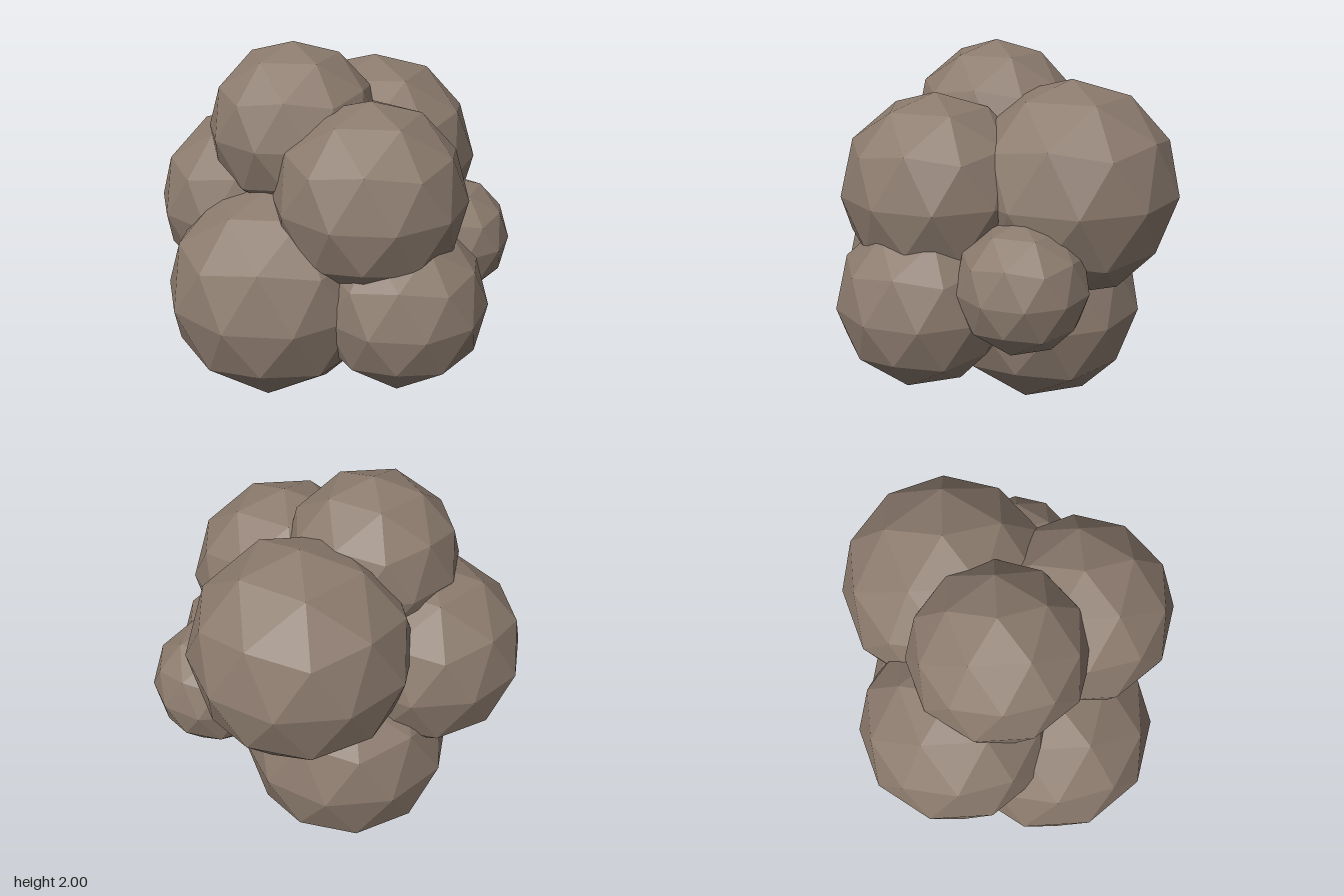
import * as THREE from 'three';

// Boulders: name, centre x, y, z, radius
const BOULDERS = [
  ['topBoulder', -0.22, 1.543, -0.098, 0.457],
  ['upperBackLeftBoulder', 0.275, 1.28, -0.335, 0.57],
  ['upperFrontBoulder', 0.08, 1.285, 0.328, 0.503],
  ['backRightBoulder', -0.43, 1.07, -0.335, 0.515],
  ['frontRightBoulder', -0.393, 0.75, 0.16, 0.57],
  ['frontLeftBoulder', 0.222, 0.74, 0.45, 0.455],
  ['smallLeftBoulder', 0.607, 0.9, 0.048, 0.34],
  ['baseBoulder', 0, 0.56, -0.29, 0.56],
];

export function createModel() {
  const group = new THREE.Group();
  group.name = 'boulderCluster';

  const material = new THREE.MeshStandardMaterial({ color: 0x8c7b6e, flatShading: true });

  // 80-sided ball, turned so that a five-sided corner points straight up
  const ball = new THREE.IcosahedronGeometry(1, 1);
  ball.rotateZ(-Math.atan(2 / (1 + Math.sqrt(5))));

  for (const [name, x, y, z, radius] of BOULDERS) {
    const boulder = new THREE.Mesh(ball, material);
    boulder.name = name;
    boulder.position.set(x, y, z);
    boulder.scale.setScalar(radius);
    group.add(boulder);
  }
  return group;
}
